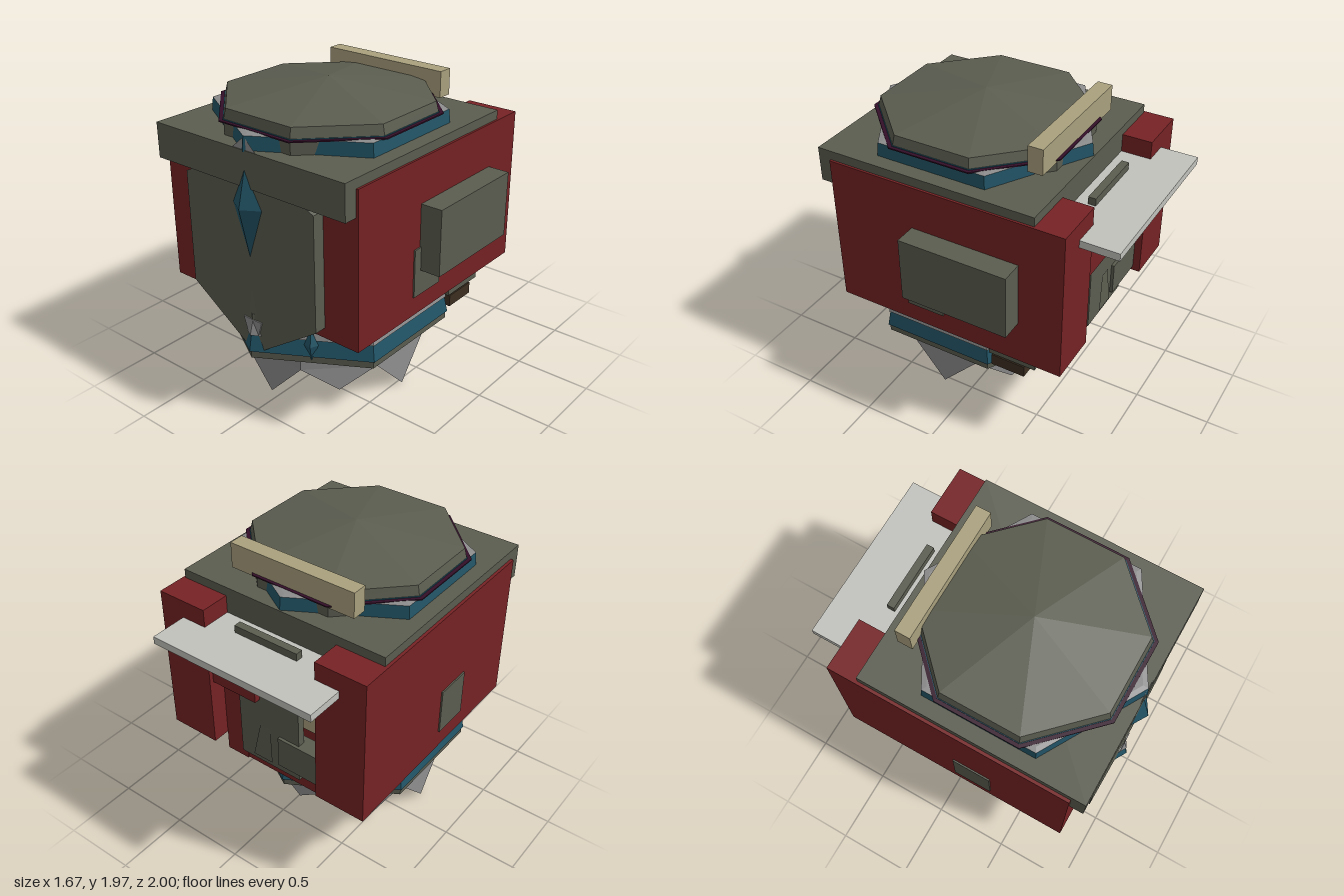
import * as THREE from 'three';

export function createModel() {
  const model = new THREE.Group();
  const mat = (name, color) => {
    const m = new THREE.MeshStandardMaterial({ color, side: THREE.DoubleSide, flatShading: true });
    m.name = name;
    return m;
  };
  const red = mat('dark red', 0x762224);
  const olive = mat('olive grey', 0x5b5d50);
  const blue = mat('deep blue', 0x225567);
  const silver = mat('mid grey', 0x8c8c8c);
  const cream = mat('cream', 0xaaa17e);
  const brown = mat('brown', 0x3d2f22);
  const purple = mat('dark purple', 0x330f28);
  const white = mat('pale grey', 0xc2c2bd);

  const CX = -0.07, CZ = 0.2; // axis of the round parts
  const add = (name, geo, m) => {
    const mesh = new THREE.Mesh(geo, m);
    mesh.name = name;
    model.add(mesh);
    return mesh;
  };
  // box from its limits
  const box = (name, m, x0, x1, y0, y1, z0, z1) => {
    const b = add(name, new THREE.BoxGeometry(x1 - x0, y1 - y0, z1 - z0), m);
    b.position.set((x0 + x1) / 2, (y0 + y1) / 2, (z0 + z1) / 2);
    return b;
  };
  // polygonal ring: six sides have a corner to the front, eight a flat
  const ring = (name, m, sides, rBottom, rTop, y0, y1) => {
    const g = new THREE.CylinderGeometry(rTop, rBottom, y1 - y0, sides, 1, false, sides === 8 ? Math.PI / 8 : 0);
    const r = add(name, g, m);
    r.position.set(CX, (y0 + y1) / 2, CZ);
    return r;
  };
  const triangles = (points) => {
    const g = new THREE.BufferGeometry();
    g.setAttribute('position', new THREE.Float32BufferAttribute(points.flat(), 3));
    g.computeVertexNormals();
    return g;
  };

  // main body with two rear columns
  box('body', red, -0.83, 0.69, 0.63, 1.65, -0.5, 0.85);
  box('rearColumnRight', red, -0.83, -0.48, 0.63, 1.65, -0.75, -0.5);
  box('rearColumnLeft', red, 0.34, 0.69, 0.63, 1.65, -0.75, -0.5);
  box('topSlab', olive, -0.81, 0.675, 1.48, 1.71, -0.55, 0.94);

  // side boxes
  box('largeSideBox', olive, 0.69, 0.835, 0.925, 1.36, -0.46, 0.27);
  box('smallSideBoxLeft', olive, 0.69, 0.7, 0.76, 1.08, 0.07, 0.33);
  box('smallSideBoxRight', olive, -0.84, -0.83, 0.76, 1.08, 0.07, 0.33);

  // rear recess
  box('rearShelf', white, -0.65, 0.515, 1.48, 1.53, -1, -0.5);
  box('rearPanel', olive, -0.3, 0.165, 0.6, 1.58, -0.68, -0.63);
  box('rearRedBlock', red, 0, 0.34, 1.1, 1.48, -0.72, -0.6);
  box('rearRedStrip', red, 0.17, 0.34, 0.49, 1.05, -0.63, -0.5);
  box('rearRedSill', red, -0.4, 0.17, 0.49, 0.66, -0.62, -0.52);
  box('rearGreyBox', olive, -0.48, -0.15, 0.66, 0.88, -0.7, -0.58);
  box('rearCreamBox', cream, -0.48, -0.2, 0.94, 1.07, -0.58, -0.5);
  box('rearUpperBox', olive, -0.48, -0.3, 1.15, 1.32, -0.6, -0.5);
  add('rearFin', triangles([
    [0.05, 0.65, -0.7], [-0.1, 0.65, -0.7], [-0.08, 0.9, -0.685],
    [0.05, 0.65, -0.7], [-0.08, 0.9, -0.685], [0.0, 0.9, -0.685],
  ]), olive);

  // front shield plate
  const plate = new THREE.Shape([
    [-0.14, 0.4], [0, 0.4], [0.44, 0.7], [0.44, 1.45], [0.38, 1.48],
    [-0.52, 1.48], [-0.58, 1.45], [-0.58, 0.7],
  ].map(([x, y]) => new THREE.Vector2(x, y)));
  add('frontShield', new THREE.ExtrudeGeometry(plate, { depth: 0.13, bevelEnabled: false }), olive)
    .position.z = 0.8;
  const notch = new THREE.Shape([
    [-0.115, 0.5], [-0.025, 0.5], [0.005, 0.6], [-0.145, 0.6],
  ].map(([x, y]) => new THREE.Vector2(x, y)));
  add('shieldNotch', new THREE.ExtrudeGeometry(notch, { depth: 0.008, bevelEnabled: false }), silver)
    .position.z = 0.93;
  // low ridge below the gem
  add('shieldRidge', triangles([
    [-0.07, 0.81, 0.931], [-0.14, 0.4, 0.931], [-0.07, 0.4, 0.938],
    [-0.07, 0.81, 0.931], [-0.07, 0.4, 0.938], [0, 0.4, 0.931],
  ]), olive);

  // faceted gem on the front
  const tip = [CX, 1.36, 1], rim = [[CX, 1.59, 0.94], [-0.185, 1.36, 0.93], [CX, 1.03, 0.93], [0.045, 1.36, 0.93]];
  add('frontGem', triangles(rim.flatMap((p, i) => [p, rim[(i + 1) % 4], tip])), blue);

  // roof: hexagonal collar, thin octagonal trims, shallow cone
  ring('roofCollar', olive, 8, 0.685, 0.685, 1.7, 1.795);
  ring('roofHexagon', blue, 6, 0.745, 0.735, 1.7, 1.795);
  ring('roofHexagonCap', silver, 6, 0.735, 0.7, 1.795, 1.8);
  ring('roofPurpleTrim', purple, 8, 0.715, 0.715, 1.794, 1.802);
  ring('roofBlueTrim', blue, 8, 0.69, 0.69, 1.802, 1.807);
  ring('roofEdge', olive, 8, 0.685, 0.668, 1.806, 1.87);
  ring('roofCone', olive, 8, 0.668, 0, 1.87, 1.97);
  box('roofBar', cream, -0.52, 0.38, 1.78, 1.95, -0.44, -0.34);
  // small gable before the collar
  add('roofGable', triangles([
    [CX, 1.79, 0.93], [-0.16, 1.71, 0.935], [0.02, 1.71, 0.935],
  ]), silver);

  // stacked hexagonal base
  ring('baseRing', olive, 6, 0.765, 0.765, 0.34, 0.39);
  ring('baseBlueBand', blue, 6, 0.778, 0.755, 0.39, 0.5);
  ring('baseGreyBand', silver, 6, 0.765, 0.735, 0.5, 0.6);
  ring('baseNeck', olive, 6, 0.74, 0.74, 0.6, 0.64);

  // blue crystals on the slanted base sides
  for (const sx of [-1, 1]) for (const sz of [-1, 1]) {
    const c = add('baseCrystal', new THREE.OctahedronGeometry(1), blue);
    c.scale.set(0.045, 0.11, 0.035);
    c.rotation.y = sx * sz * Math.PI / 6;
    c.position.set(CX + sx * 0.33, 0.47, CZ + sz * 0.575);
    // small boxes under the rear corners
    if (sz < 0) {
      const x = CX + sx * 0.55;
      box('cornerBox', olive, x - 0.12, x + 0.12, 0.5, 0.64, -0.53, -0.2);
      box('cornerFoot', brown, x - 0.09, x + 0.12, 0.41, 0.49, -0.455, -0.22);
    }
  }

  // octagonal skirt with hanging points, counted from the front towards +x
  ring('skirt', silver, 8, 0.627, 0.627, 0.25, 0.345);
  ring('skirtFloor', olive, 8, 0.62, 0.62, 0.245, 0.25);
  const tips = [0, 0.1, 0, 0.1, 0.1, 0, 0, null];
  tips.forEach((y, i) => {
    if (y === null) return;
    const at = (r, k, h) => {
      const a = (i + k) * Math.PI / 4;
      return [CX + r * Math.sin(a), h, CZ + r * Math.cos(a)];
    };
    add('skirtPoint', triangles([at(0.627, 0.5, 0.25), at(0.627, -0.5, 0.25), at(0.6, 0, y)]), silver);
  });

  return model;
}
